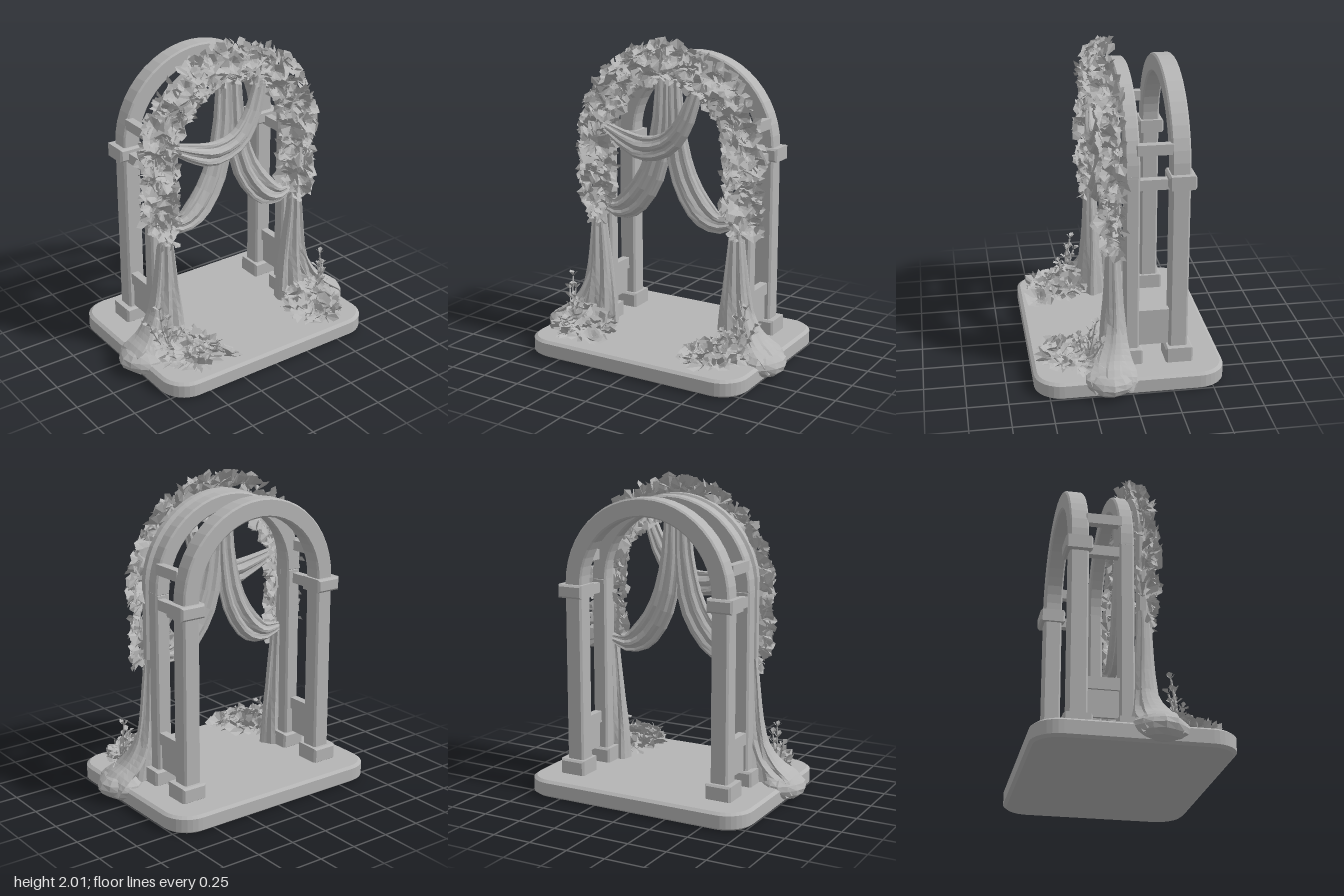
import * as THREE from 'three';
import { mergeGeometries } from 'three/addons/utils/BufferGeometryUtils.js';

const stone = new THREE.MeshStandardMaterial({ color: 0xb4b4b4, flatShading: true, side: THREE.DoubleSide });
stone.name = 'plain grey';

let seed = 7;
const rand = (a = 0, b = 1) => {
  seed = (seed * 16807) % 2147483647;
  return a + (b - a) * (seed / 2147483647);
};

export function createModel() {
  const model = new THREE.Group();
  model.name = 'flowerArch';
  const add = (name, geometry, x = 0, y = 0, z = 0) => {
    const mesh = new THREE.Mesh(geometry, stone);
    mesh.name = name;
    mesh.position.set(x, y, z);
    model.add(mesh);
  };

  // Block with softened edges, given by its limits
  const block = (name, x0, x1, y0, y1, z0, z1, b = 0.012) => {
    const w = (x1 - x0) / 2 - b, h = (y1 - y0) / 2 - b;
    const s = new THREE.Shape([[-w, -h], [w, -h], [w, h], [-w, h]].map(p => new THREE.Vector2(...p)));
    const g = new THREE.ExtrudeGeometry(s, { depth: z1 - z0 - 2 * b, bevelThickness: b, bevelSize: b, bevelSegments: 1 });
    add(name, g, (x0 + x1) / 2, (y0 + y1) / 2, z0 + b);
  };

  // Rounded platform
  const X = 0.74, Z = 0.565, R = 0.15;
  const plan = new THREE.Shape();
  plan.absarc(X - R, Z - R, R, 0, Math.PI / 2);
  plan.absarc(-X + R, Z - R, R, Math.PI / 2, Math.PI);
  plan.absarc(-X + R, -Z + R, R, Math.PI, Math.PI * 1.5);
  plan.absarc(X - R, -Z + R, R, Math.PI * 1.5, Math.PI * 2);
  const slab = new THREE.ExtrudeGeometry(plan, { depth: 0.08, bevelThickness: 0.015, bevelSize: 0.02, bevelSegments: 1, curveSegments: 4 });
  add('platform', slab.rotateX(-Math.PI / 2), 0, 0.015, 0);

  // Half-ring arch tops
  const arch = (name, outer, inner, z0, z1) => {
    const b = 0.01, s = new THREE.Shape();
    s.absarc(0, 0, outer - b, 0, Math.PI, false);
    s.absarc(0, 0, inner + b, Math.PI, 0, true);
    const g = new THREE.ExtrudeGeometry(s, { depth: z1 - z0 - 2 * b, bevelThickness: b, bevelSize: b, bevelSegments: 1, curveSegments: 12 });
    add(name, g, 0, 1.325, z0 + b);
  };
  arch('backArch', 0.565, 0.45, -0.37, -0.255);
  arch('frontArch', 0.555, 0.455, -0.07, 0.02);

  // Columns, plinths, capitals and side rails
  for (const s of [-1, 1]) {
    const side = (name, a, b, ...rest) => block(name, Math.min(s * a, s * b), Math.max(s * a, s * b), ...rest);
    side('backColumn', 0.45, 0.565, 0.18, 1.26, -0.37, -0.255);
    side('backPlinth', 0.43, 0.6, 0.1, 0.205, -0.4, -0.23);
    side('backCapital', 0.43, 0.6, 1.245, 1.33, -0.4, -0.235);
    side('frontColumn', 0.455, 0.555, 0.18, 1.33, -0.07, 0.02);
    side('frontPlinth', 0.43, 0.59, 0.1, 0.205, -0.09, 0.06);
    for (const [y0, y1] of [[0.375, 0.45], [1.235, 1.3], [1.45, 1.515]])
      side('sideRail', 0.495, 0.545, y0, y1, -0.27, -0.05, 0.004);
    side('lowerPanel', 0.51, 0.53, 0.21, 0.38, -0.26, -0.06, 0.003);
  }

  // Pleated cloth lofted along stations [x, y, z, halfWidth, halfDepth]
  const drape = (name, stations, folds, mirror = 1) => {
    const path = new THREE.CatmullRomCurve3(stations.map(p => new THREE.Vector3(p[0] * mirror, p[1], p[2])));
    const size = new THREE.CatmullRomCurve3(stations.map(p => new THREE.Vector3(p[3], p[4], 0)));
    const N = 12, M = folds * 4, pos = [], index = [];
    for (let i = 0; i <= N; i++) {
      const t = i / N, c = path.getPoint(t), k = size.getPoint(t), tan = path.getTangent(t);
      const across = new THREE.Vector3(-tan.y, tan.x, 0).normalize();
      for (let j = 0; j < M; j++) {
        const a = (j / M) * Math.PI * 2;
        const ripple = 1 + 0.28 * Math.cos(a * folds + 0.8 * Math.sin(t * 5));
        const u = Math.cos(a) * k.x * (0.9 + 0.1 * ripple), v = Math.sin(a) * k.y * ripple;
        pos.push(c.x + across.x * u, c.y + across.y * u, c.z + v);
        if (i < N) {
          const p = i * M + j, q = i * M + (j + 1) % M;
          index.push(p, p + M, q, q, p + M, q + M);
        }
      }
    }
    const g = new THREE.BufferGeometry();
    g.setAttribute('position', new THREE.Float32BufferAttribute(pos, 3));
    g.setIndex(index);
    g.computeVertexNormals();
    add(name, g);
  };
  for (const s of [-1, 1]) {
    drape('longSwag', [[0.035, 1.8, 0.05, 0.05, 0.03], [0.05, 1.45, 0.055, 0.07, 0.035], [0.11, 1.17, 0.06, 0.09, 0.04],
      [0.24, 0.97, 0.07, 0.095, 0.045], [0.36, 0.9, 0.07, 0.068, 0.04], [0.48, 0.92, 0.06, 0.03, 0.03]], 7, s);
    drape('sideCurtain', [[0.5, 0.95, 0.08, 0.04, 0.035], [0.5, 0.78, 0.085, 0.055, 0.04], [0.5, 0.5, 0.08, 0.09, 0.055],
      [0.51, 0.3, 0.08, 0.125, 0.07], [0.53, 0.11, 0.08, 0.16, 0.085]], 7, s);
    drape('curtainTrain', [[0.53, 0.45, 0.08, 0.05, 0.045], [0.6, 0.27, 0.09, 0.06, 0.07], [0.68, 0.18, 0.11, 0.05, 0.1],
      [0.76, 0.12, 0.12, 0.05, 0.12], [0.8, 0.05, 0.12, 0.03, 0.1]], 5, s);

    // Cloth heap spilling over the platform edge
    const heap = new THREE.SphereGeometry(1, 14, 8), p = heap.attributes.position;
    for (let i = 0; i < p.count; i++) {
      const a = Math.atan2(p.getZ(i), p.getX(i)), r = 1 + 0.06 * Math.cos(a * 4 + p.getY(i) * 2);
      p.setXYZ(i, p.getX(i) * r * 0.14, p.getY(i) * 0.085, p.getZ(i) * r * 0.165);
    }
    heap.computeVertexNormals();
    add('clothHeap', heap, s * 0.715, 0.088, 0.125);
  }
  drape('crossSwag', [[0.22, 1.73, 0.08, 0.04, 0.03], [0.135, 1.5, 0.1, 0.06, 0.035], [0.02, 1.365, 0.11, 0.075, 0.04],
    [-0.15, 1.32, 0.11, 0.08, 0.04], [-0.3, 1.36, 0.1, 0.06, 0.035], [-0.44, 1.42, 0.08, 0.03, 0.03]], 7);

  // Pointed, folded petals around a +z axis
  const petals = (count, length, width, open, turn) => {
    const pos = [];
    for (let i = 0; i < count; i++) {
      const f = turn + (i / count) * Math.PI * 2, a = open + rand(-0.25, 0.25), L = length * rand(0.8, 1.15);
      const dir = new THREE.Vector3(Math.sin(a) * Math.cos(f), Math.sin(a) * Math.sin(f), Math.cos(a));
      const across = new THREE.Vector3(-Math.sin(f), Math.cos(f), 0).multiplyScalar(width * L);
      const mid = dir.clone().multiplyScalar(0.58 * L), tip = dir.clone().multiplyScalar(L);
      const l = mid.clone().add(across), r = mid.clone().sub(across);
      l.z += 0.14 * L;
      r.z += 0.14 * L;
      for (const v of [new THREE.Vector3(), tip, l, new THREE.Vector3(), r, tip]) pos.push(v.x, v.y, v.z);
    }
    const g = new THREE.BufferGeometry();
    g.setAttribute('position', new THREE.Float32BufferAttribute(pos, 3));
    g.computeVertexNormals();
    return g;
  };
  const aim = (g, at, dir) => {
    const q = new THREE.Quaternion().setFromUnitVectors(new THREE.Vector3(0, 0, 1), dir.clone().normalize());
    return g.applyQuaternion(q).translate(at.x, at.y, at.z);
  };
  const flower = (size, at, dir) => {
    const turn = rand(0, 6);
    return aim(mergeGeometries([petals(5, size, 0.5, 1.2, turn), petals(4, size * 0.85, 0.5, 0.65, turn + 0.5)]), at, dir);
  };

  // Garland following the front arch
  const route = t => {
    const leg = 0.44, r = 0.525, total = 2 * leg + Math.PI * r, d = t * total;
    if (d < leg) return [new THREE.Vector3(-0.52, 0.89 + d, 0), new THREE.Vector3(-1, 0, 0)];
    if (d > total - leg) return [new THREE.Vector3(0.52, 0.89 + total - d, 0), new THREE.Vector3(1, 0, 0)];
    const a = Math.PI - (d - leg) / r, n = new THREE.Vector3(Math.cos(a), Math.sin(a), 0);
    return [n.clone().multiplyScalar(r).add(new THREE.Vector3(0, 1.33, 0)), n];
  };
  const vine = new THREE.CatmullRomCurve3(Array.from({ length: 25 }, (_, i) => route(i / 24)[0].setZ(0.07)));
  add('garlandVine', new THREE.TubeGeometry(vine, 40, 0.035, 6));
  const blooms = [];
  const count = 114;
  for (let i = 0; i < count; i++) {
    const [c, n] = route((i + rand()) / count), k = [-0.06, 0.01, 0.06][i % 3] + rand(-0.02, 0.02);
    const at = c.addScaledVector(n, k).setZ(0.115 - Math.abs(k) * 0.6 + rand(-0.025, 0.025));
    const dir = n.clone().multiplyScalar(k * 12).add(new THREE.Vector3(rand(-0.5, 0.5), rand(-0.5, 0.5), 0.75));
    blooms.push(flower(rand(0.07, 0.1), at, dir));
  }
  // Leaves tucked behind the blooms
  for (let i = 0; i < 60; i++) {
    const [c, n] = route((i + rand()) / 60), k = i % 2 ? 0.06 : -0.06;
    blooms.push(aim(petals(3, 0.09, 0.3, 0.7, rand(0, 6)), c.addScaledVector(n, k).setZ(0.06),
      n.clone().multiplyScalar(k * 16).add(new THREE.Vector3(rand(-0.4, 0.4), rand(-0.4, 0.4), rand(-0.2, 0.5)))));
  }
  // Trailing tips below the garland
  for (const s of [-1, 1]) for (let i = 0; i < 7; i++)
    blooms.push(aim(petals(3, 0.06, 0.35, 0.7, rand(0, 6)),
      new THREE.Vector3(s * rand(0.46, 0.57), rand(0.82, 0.9), rand(0.09, 0.13)), new THREE.Vector3(rand(-0.5, 0.5), -1, 0.4)));
  add('garlandFlowers', mergeGeometries(blooms));

  // Flower beds and tall sprigs at the foot of each curtain
  for (const s of [-1, 1]) {
    const bed = [];
    for (let i = 0; i < 34; i++) {
      const t = (i + rand()) / 34, u = rand(-1, 1), low = i % 3 === 0;
      const at = new THREE.Vector3(s * (0.56 - 0.13 * t + 0.12 * u), 0.13 + (low ? 0 : 0.1 * (1 - 0.6 * t) * (1 - u * u)), 0.14 + 0.34 * t);
      bed.push(flower(rand(0.07, 0.105), at, new THREE.Vector3(s * u * 0.7, 1, rand(-0.2, 0.6))));
    }
    // Long leaves fanning out along the rim of the bed
    for (let i = 0; i < 16; i++) {
      const a = (i / 16) * Math.PI * 2, dir = new THREE.Vector3(Math.cos(a), rand(0.25, 0.8), Math.sin(a));
      const at = new THREE.Vector3(s * 0.48 + 0.1 * Math.cos(a), 0.125, 0.32 + 0.13 * Math.sin(a));
      bed.push(aim(petals(3, 0.12, 0.22, 0.45, rand(0, 6)), at, dir));
    }
    add('flowerBed', mergeGeometries(bed));
    const sprigs = [];
    for (const [x, y, z] of [[0.63, 0.43, 0.21], [0.59, 0.36, 0.24], [0.68, 0.32, 0.18], [0.53, 0.3, 0.3]]) {
      const root = new THREE.Vector3(s * 0.57, 0.12, 0.26), top = new THREE.Vector3(s * x, y, z);
      const mid = root.clone().lerp(top, 0.5).add(new THREE.Vector3(s * 0.02, 0, 0));
      const stem = new THREE.CatmullRomCurve3([root, mid, top]);
      const stalk = new THREE.TubeGeometry(stem, 5, 0.006, 4).toNonIndexed();
      stalk.deleteAttribute('uv');
      sprigs.push(stalk);
      for (const t of [0.5, 0.75, 1])
        sprigs.push(aim(petals(3, 0.05, 0.35, 0.7, t * 9), stem.getPoint(t), stem.getTangent(t)));
    }
    add('sprigs', mergeGeometries(sprigs));
  }
  return model;
}
